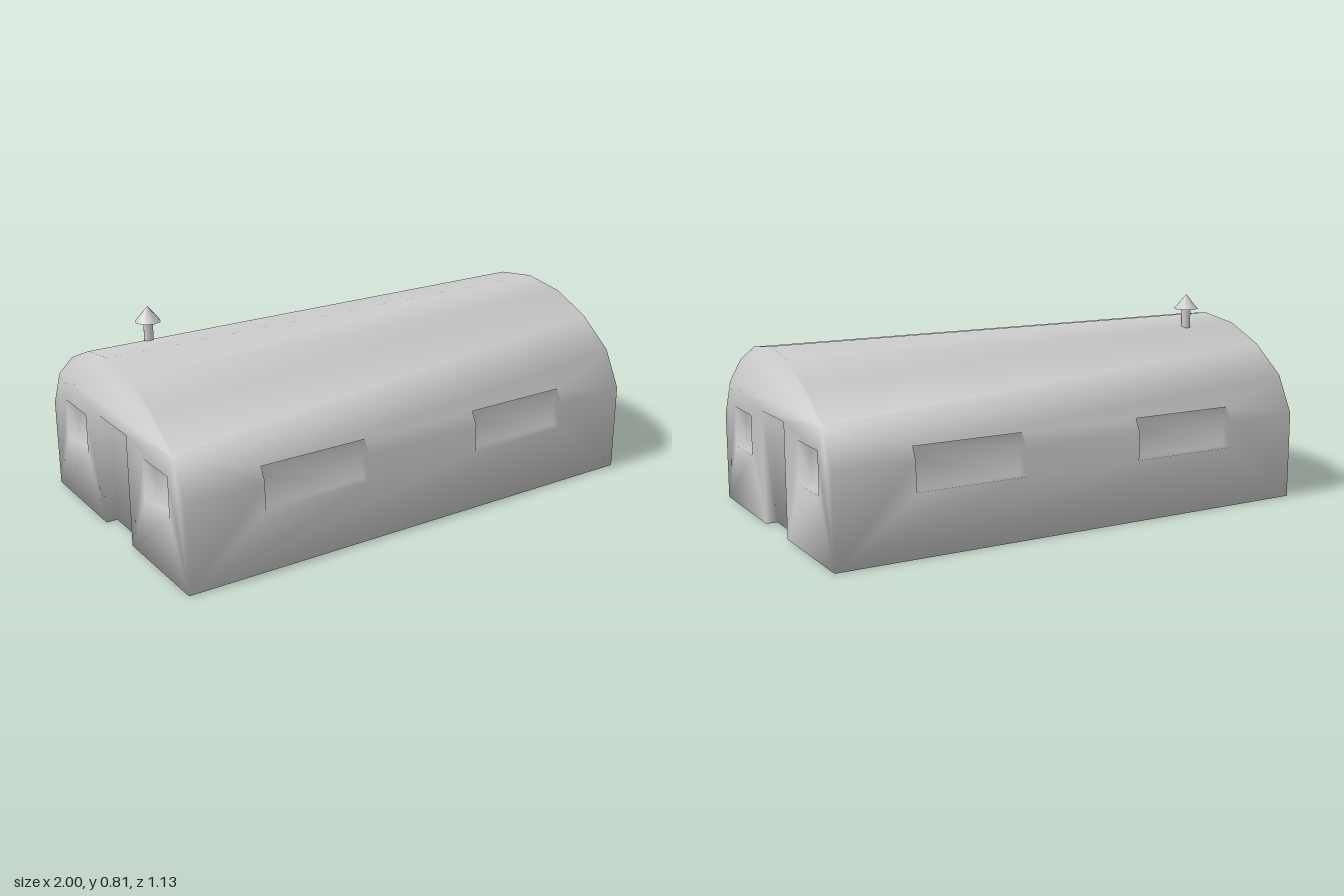
import * as THREE from 'three';
import { mergeGeometries, mergeVertices } from 'three/addons/utils/BufferGeometryUtils.js';

// Half cross-section of the hut as [z, y], from the ground to the ridge
const PROFILE = [[0.565, 0], [0.565, 0.35], [0.49, 0.495], [0.345, 0.605], [0.18, 0.675], [0, 0.7]];
const WINDOWS = [[-0.69, -0.25], [0.25, 0.69]];
const SILL = 0.24, HEAD = 0.4, EAVE = 0.35;
const DOOR_HALF = 0.115, DOOR_TOP = 0.44, DOOR_DEPTH = 0.045;

// Depth of the curved wall at height y
function wallZ(y) {
  for (let i = 1; i < PROFILE.length; i++) {
    const [z0, y0] = PROFILE[i - 1], [z1, y1] = PROFILE[i];
    if (y <= y1 + 1e-6) return z0 + (z1 - z0) * (y - y0) / (y1 - y0);
  }
  return 0;
}

// Flat outline in x and y, pushed out to z = depth(y)
function panel(points, depth, holes = []) {
  const toVectors = (list) => list.map(([x, y]) => new THREE.Vector2(x, y));
  const shape = new THREE.Shape(toVectors(points));
  holes.forEach((h) => shape.holes.push(new THREE.Path(toVectors(h))));
  const geo = new THREE.ShapeGeometry(shape);
  const p = geo.attributes.position;
  for (let i = 0; i < p.count; i++) p.setZ(i, depth(p.getY(i)));
  return geo;
}

// Recess behind a counter-clockwise opening: reveals and back pane
function recess(points, depth, backZ, closed = true) {
  const pos = [], index = [];
  const count = closed ? points.length : points.length - 1;
  for (let i = 0; i < count; i++) {
    const a = points[i], b = points[(i + 1) % points.length], k = i * 4;
    pos.push(a[0], a[1], depth(a[1]), b[0], b[1], depth(b[1]), b[0], b[1], backZ, a[0], a[1], backZ);
    index.push(k, k + 1, k + 2, k, k + 2, k + 3);
  }
  const geo = new THREE.BufferGeometry();
  geo.setAttribute('position', new THREE.Float32BufferAttribute(pos, 3));
  geo.setIndex(index);
  return [geo, panel(points, () => backZ)];
}

const rect = (x0, x1, y0, y1) => [[x0, y0], [x1, y0], [x1, y1], [x0, y1]];

// Long side with two windows that cross the eave fold, plus half the roof
function sideParts() {
  const lower = [[-1, 0], [1, 0], [1, EAVE]], upper = [[-1, EAVE]];
  for (const [x0, x1] of [...WINDOWS].reverse()) {
    lower.push([x1, EAVE], [x1, SILL], [x0, SILL], [x0, EAVE]);
  }
  for (const [x0, x1] of WINDOWS) {
    upper.push([x0, EAVE], [x0, HEAD], [x1, HEAD], [x1, EAVE]);
  }
  lower.push([-1, EAVE]);
  upper.push([1, EAVE], [1, PROFILE[2][1]], [-1, PROFILE[2][1]]);
  const parts = [panel(lower, wallZ), panel(upper, wallZ)];
  for (let i = 3; i < PROFILE.length; i++) {
    parts.push(panel(rect(-1, 1, PROFILE[i - 1][1], PROFILE[i][1]), wallZ));
  }
  for (const [x0, x1] of WINDOWS) {
    const opening = [[x0, SILL], [x1, SILL], [x1, EAVE], [x1, HEAD], [x0, HEAD], [x0, EAVE]];
    parts.push(...recess(opening, wallZ, 0.52));
  }
  return parts;
}

// End wall with a doorway and two windows
function endParts() {
  const flat = () => 1;
  const door = [[DOOR_HALF, 0], [DOOR_HALF, DOOR_TOP], [-DOOR_HALF, DOOR_TOP], [-DOOR_HALF, 0]];
  const outline = [
    ...[...door].reverse(),
    ...PROFILE,
    ...PROFILE.slice(0, -1).reverse().map(([z, y]) => [-z, y]),
  ];
  const windows = [rect(-0.44, -0.25, SILL, HEAD), rect(0.25, 0.44, SILL, HEAD)];
  return [
    panel(outline, flat, windows),
    ...recess(door, flat, 1 - DOOR_DEPTH, false),
    ...windows.flatMap((w) => recess(w, flat, 0.955)),
  ];
}

// Underside, notched at both doorways
function floorPart() {
  const z = PROFILE[0][0], d = DOOR_HALF, inner = 1 - DOOR_DEPTH;
  const half = [[1, -z], [1, -d], [inner, -d], [inner, d], [1, d], [1, z]];
  const outline = [...half, ...half.map(([x, y]) => [-x, -y])];
  return panel(outline, () => 0).rotateX(Math.PI / 2);
}

function shellGeometry() {
  const parts = [floorPart()];
  for (const turn of [0, Math.PI]) {
    sideParts().forEach((g) => parts.push(g.rotateY(turn)));
    endParts().forEach((g) => parts.push(g.rotateY(turn + Math.PI / 2)));
  }
  // Weld everything so the shading is smooth across the whole shell
  parts.forEach((g) => {
    g.deleteAttribute('normal');
    g.deleteAttribute('uv');
  });
  const geo = mergeVertices(mergeGeometries(parts), 1e-4);
  geo.computeVertexNormals();
  return geo;
}

export function createModel() {
  const model = new THREE.Group();
  model.name = 'hut';
  const material = new THREE.MeshStandardMaterial({ color: 0xcccccc, side: THREE.DoubleSide });
  const add = (name, geo, parent) => {
    const mesh = new THREE.Mesh(geo, material);
    mesh.name = name;
    parent.add(mesh);
    return mesh;
  };

  add('hutShell', shellGeometry(), model);

  // Stove chimney through the back slope of the roof
  const chimney = new THREE.Group();
  chimney.name = 'chimney';
  chimney.position.set(-0.755, 0, -0.175);
  add('chimneyPipe', new THREE.CylinderGeometry(0.019, 0.019, 0.1, 8), chimney).position.y = 0.705;
  add('chimneyCap', new THREE.ConeGeometry(0.05, 0.06, 8), chimney).position.y = 0.78;
  model.add(chimney);

  return model;
}
